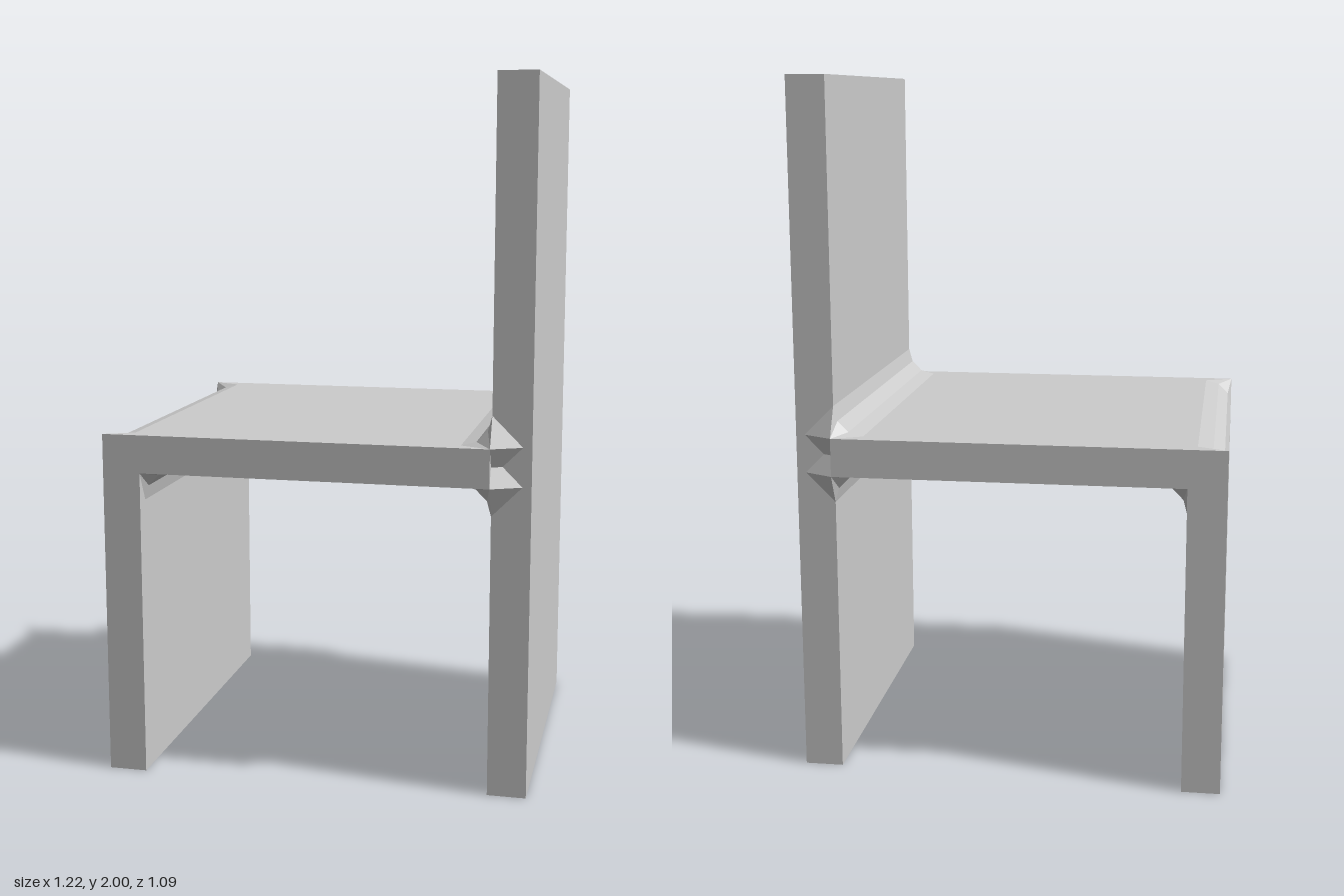
import * as THREE from 'three';

const material = new THREE.MeshStandardMaterial({ color: 0xcccccc, flatShading: true });
const FILLET = 0.085;      // radius of the rounded joints
const INNER = 0.5;         // half depth of the backrest
const OUTER = 0.5425;      // half depth of seat and front panel

// Corners of the seat and front panel, anticlockwise seen from +z.
// An arc (centre offset and start angle, in quarter turns) rounds some of them.
const corners = [
  { x: -0.61, y: 0 },
  { x: -0.5, y: 0 },
  { x: -0.5, y: 0.89, cx: 1, cy: -1, from: 2, to: 1 },  // front panel to seat
  { x: 0.5, y: 0.89, cx: -1, cy: -1, from: 1, to: 0 },  // seat underside to back
  { x: 0.5, y: 1, cx: -1, cy: 1, from: 0, to: -1 },     // seat top to back
  { x: -0.61, y: 1, cx: 1, cy: -1, from: 1, to: 2 },    // front edge
];

// Cross-section: r = 0 collapses every arc into its sharp corner
function profile(r) {
  const points = [];
  for (const c of corners) {
    if (c.cx === undefined) {
      points.push([c.x, c.y]);
      continue;
    }
    for (let k = 0; k <= 3; k++) {
      const a = (c.from + (c.to - c.from) * k / 3) * Math.PI / 2;
      points.push([
        c.x + r * (c.cx + Math.cos(a)),
        c.y + r * (c.cy + Math.sin(a)),
      ]);
    }
  }
  return points;
}

function seatGeometry() {
  const sections = [[-OUTER, 0], [-INNER, FILLET], [INNER, FILLET], [OUTER, 0]]
    .map(([z, r]) => profile(r).map(([x, y]) => new THREE.Vector3(x, y, z)));
  const vertices = [];
  const triangle = (a, b, c) => {
    const area = b.clone().sub(a).cross(c.clone().sub(a)).length();
    if (area > 1e-7) vertices.push(...a, ...b, ...c);
  };

  // Walls between neighbouring sections
  for (let j = 0; j < sections.length - 1; j++) {
    const near = sections[j], far = sections[j + 1], n = near.length;
    for (let i = 0; i < n; i++) {
      const k = (i + 1) % n;
      triangle(near[i], near[k], far[k]);
      triangle(near[i], far[k], far[i]);
    }
  }

  // Flat sides
  const outline = corners.map(c => new THREE.Vector2(c.x, c.y));
  for (const [a, b, c] of THREE.ShapeUtils.triangulateShape(outline, [])) {
    const at = (i, z) => new THREE.Vector3(outline[i].x, outline[i].y, z);
    triangle(at(a, OUTER), at(b, OUTER), at(c, OUTER));
    triangle(at(a, -OUTER), at(c, -OUTER), at(b, -OUTER));
  }

  const geometry = new THREE.BufferGeometry();
  geometry.setAttribute('position', new THREE.Float32BufferAttribute(vertices, 3));
  geometry.computeVertexNormals();
  return geometry;
}

export function createModel() {
  const group = new THREE.Group();
  const add = (name, geometry, x = 0, y = 0, z = 0) => {
    const mesh = new THREE.Mesh(geometry, material);
    mesh.name = name;
    mesh.position.set(x, y, z);
    group.add(mesh);
  };

  add('seatAndFrontPanel', seatGeometry());
  add('backPanel', new THREE.BoxGeometry(0.11, 2, 2 * INNER), 0.555, 1, 0);

  // Half pyramids that blend the seat ends into the sides of the back panel
  const height = OUTER - INNER;
  for (const side of [-1, 1]) {
    for (const y of [0.89, 1]) {
      const blend = new THREE.ConeGeometry(FILLET, height, 2, 1, true, 0, Math.PI);
      blend.rotateX(side * Math.PI / 2);
      add('sideBlend', blend, 0.5, y, side * (INNER + height / 2));
    }
  }
  return group;
}
